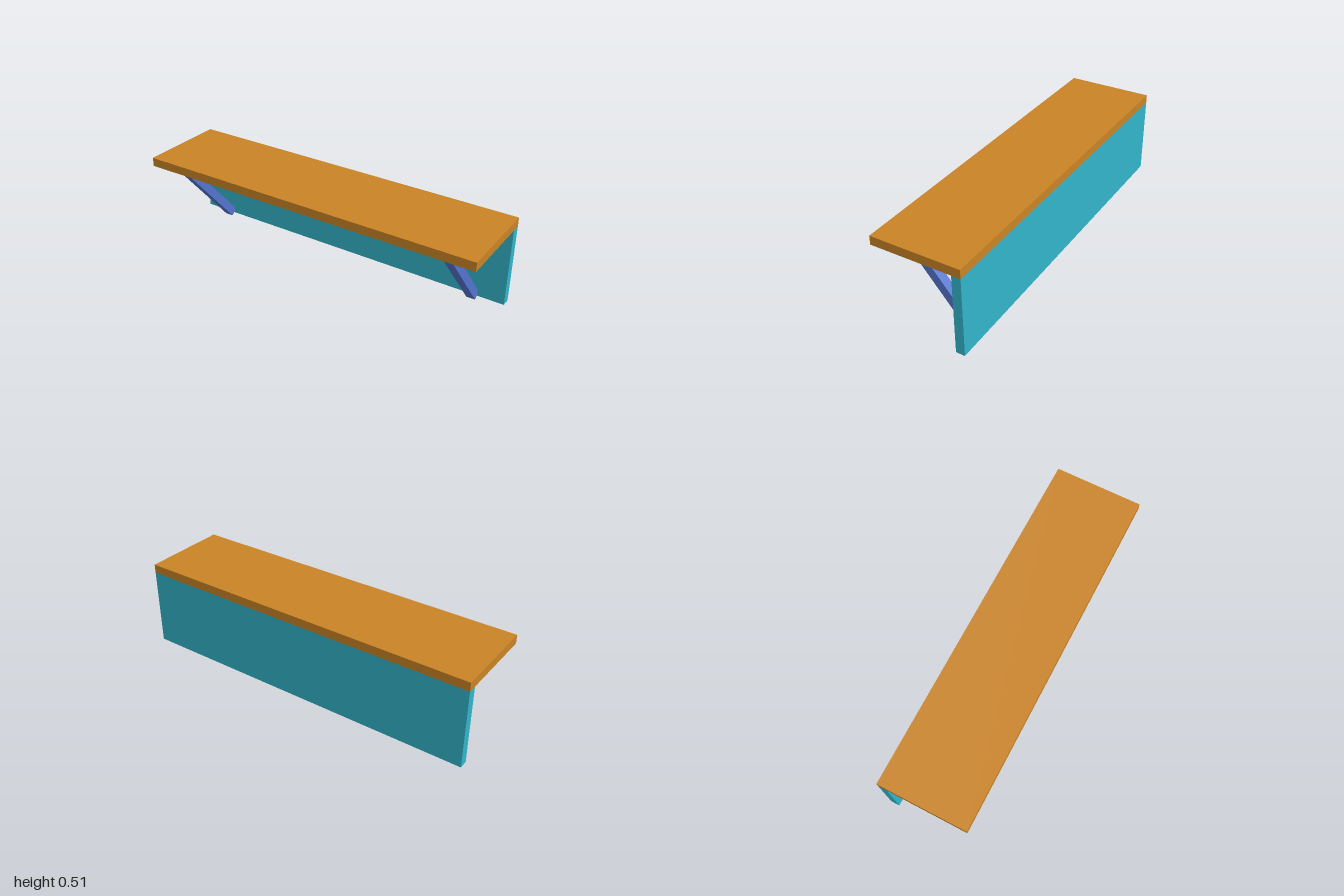
import * as THREE from 'three';

export function createModel() {
  const group = new THREE.Group();

  const box = (name, color, size, position) => {
    const material = new THREE.MeshStandardMaterial({ color });
    const mesh = new THREE.Mesh(new THREE.BoxGeometry(...size), material);
    mesh.name = name;
    mesh.position.set(...position);
    group.add(mesh);
    return mesh;
  };

  // Shelf board resting on the upright back board
  box('shelfBoard', 0xc98325, [2, 0.05, 0.5], [0, 0.485, 0]);
  box('backBoard', 0x33b5cb, [2, 0.45, 0.05], [0, 0.235, -0.225]);

  // Diagonal braces, their ends let into both boards
  for (const side of [1, -1]) {
    const brace = box(side > 0 ? 'leftBrace' : 'rightBrace', 0x5374cd,
      [0.05, 0.6, 0.05], [side * 0.825, 0.246, 0]);
    brace.rotation.x = THREE.MathUtils.degToRad(40);
  }

  return group;
}
